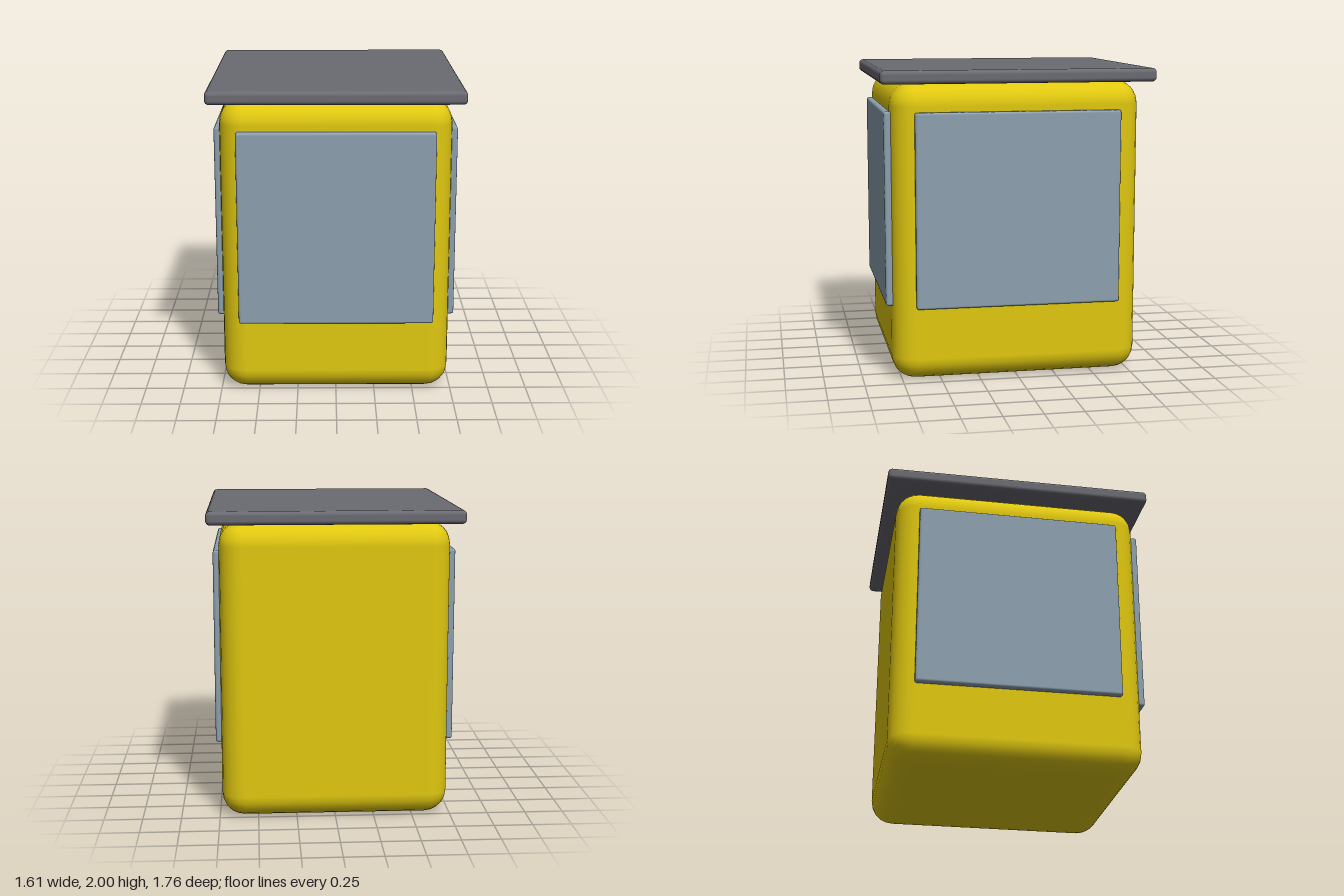
import * as THREE from 'three';
import { RoundedBoxGeometry } from 'three/addons/geometries/RoundedBoxGeometry.js';

function material(name, color) {
  const m = new THREE.MeshStandardMaterial({ color });
  m.name = name;
  return m;
}

export function createModel() {
  const group = new THREE.Group();
  group.name = 'cabin';

  const yellow = material('yellow paint', 0xe0c810);
  const glass = material('blue grey glass', 0x8ca0ae);
  const grey = material('dark grey roof', 0x6a6a72);

  // Rounded box given by its size and centre
  function box(name, mat, [w, h, d], [x, y, z], radius, segments) {
    const mesh = new THREE.Mesh(new RoundedBoxGeometry(w, h, d, segments, radius), mat);
    mesh.name = name;
    mesh.position.set(x, y, z);
    group.add(mesh);
  }

  // Cabin shell with generous rounded edges
  box('body', yellow, [1.47, 1.918, 1.615], [0, 0.959, 0.002], 0.15, 3);

  // Overhanging flat roof
  box('roof', grey, [1.614, 0.086, 1.764], [0, 1.957, 0], 0.028, 3);

  // Windscreen, standing slightly proud of the shell; the back has none
  const paneHeight = 1.252, paneY = 1.109, thickness = 0.07;
  box('frontWindow', glass, [1.25, paneHeight, thickness], [0, paneY, 0.846 - thickness / 2], 0.016, 2);

  // Matching side windows
  for (const [name, side] of [['leftWindow', 1], ['rightWindow', -1]]) {
    box(name, glass, [thickness, paneHeight, 1.325], [side * (0.772 - thickness / 2), paneY, 0.002], 0.016, 2);
  }

  return group;
}
